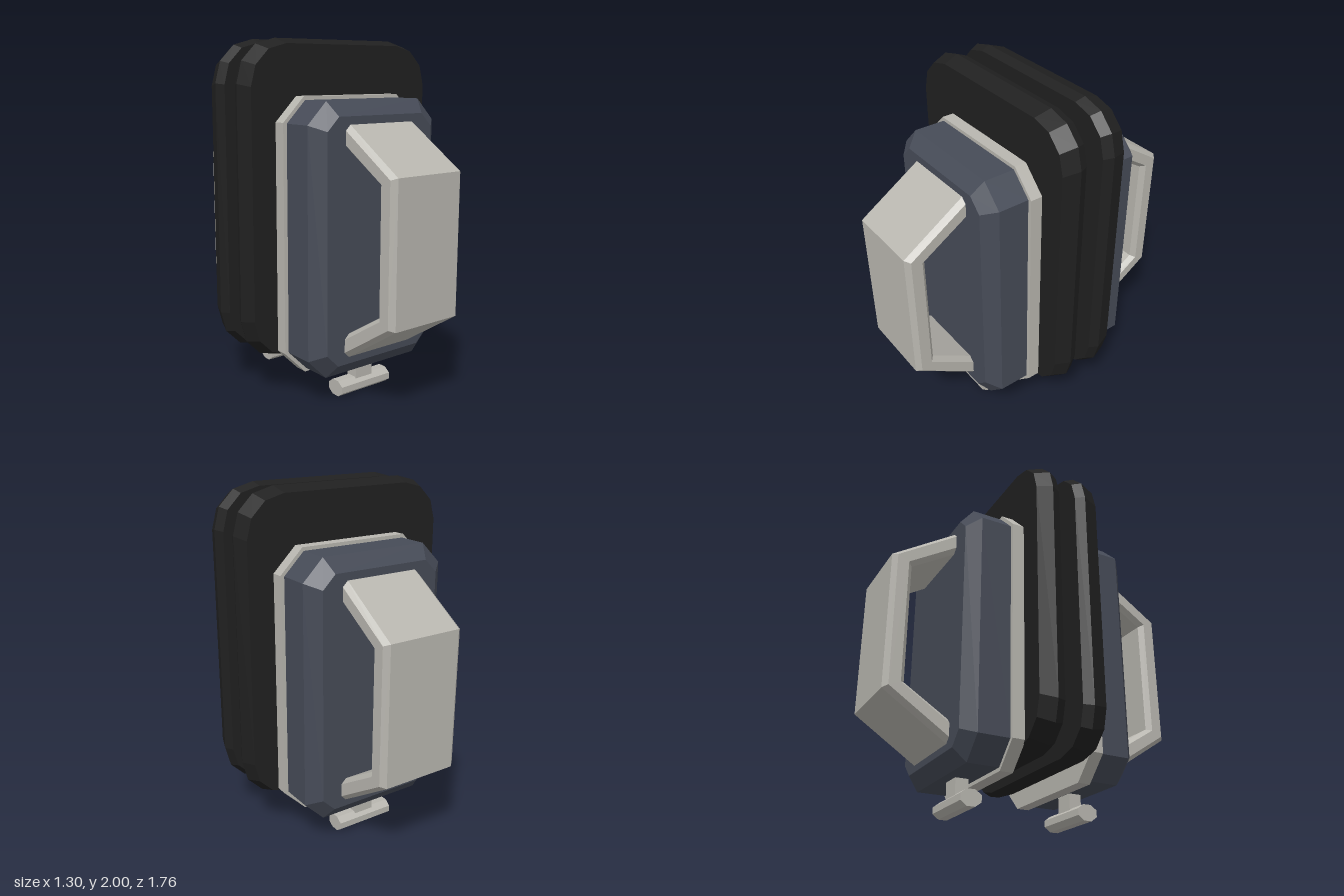
import * as THREE from 'three';

const paint = (name, color) => Object.assign(new THREE.MeshStandardMaterial({ color, flatShading: true }), { name });

// Closed solid through convex rings of [x, y, z] points
function skin(rings) {
  const v = [];
  const tri = (...p) => p.forEach((q) => v.push(...q));
  const n = rings[0].length;
  const centre = (r) => [0, 1, 2].map((k) => r.reduce((s, p) => s + p[k], 0) / n);
  const first = rings[0], last = rings[rings.length - 1];
  const c0 = centre(first), c1 = centre(last);
  for (let i = 0; i < n; i++) {
    const j = (i + 1) % n;
    for (let k = 0; k + 1 < rings.length; k++) {
      const a = rings[k], b = rings[k + 1];
      tri(a[i], a[j], b[j], a[i], b[j], b[i]);
    }
    tri(c0, first[j], first[i]);
    tri(c1, last[i], last[j]);
  }
  const g = new THREE.BufferGeometry();
  g.setAttribute('position', new THREE.Float32BufferAttribute(v, 3));
  g.computeVertexNormals();
  return g;
}

// Upright rectangle at depth z with corners of radius r cut into seg steps
function outline(hw, y0, y1, r, seg, z) {
  const pts = [];
  const corners = [[1, 1], [-1, 1], [-1, -1], [1, -1]];
  corners.forEach(([sx, sy], q) => {
    for (let i = 0; i <= seg; i++) {
      const a = (q + i / seg) * Math.PI / 2;
      const cy = sy > 0 ? y1 - r : y0 + r;
      pts.push([sx * (hw - r) + r * Math.cos(a), cy + r * Math.sin(a), z]);
    }
  });
  return pts;
}

export function createModel() {
  const black = paint('black rubber', 0x202020);
  const navy = paint('slate blue', 0x464b57);
  const grey = paint('light grey', 0xb8b6af);

  function buildHalf(name) {
    const half = new THREE.Group();
    half.name = name;
    const add = (part, geometry, material) => {
      const m = new THREE.Mesh(geometry, material);
      m.name = part;
      half.add(m);
      return m;
    };

    // Large pad with a ridge around its rim
    add('pad', skin([
      outline(0.625, 0.25, 1.98, 0.225, 3, 0.053),
      outline(0.65, 0.23, 2.0, 0.24, 3, 0.108),
      outline(0.62, 0.26, 1.97, 0.225, 3, 0.2),
    ]), black);

    // Backing plate and bevelled housing
    add('backingPlate', skin([
      outline(0.47, 0.155, 1.695, 0.135, 1, 0.195),
      outline(0.47, 0.155, 1.695, 0.135, 1, 0.27),
    ]), grey);
    add('housing', skin([
      outline(0.447, 0.175, 1.675, 0.12, 1, 0.265),
      outline(0.447, 0.175, 1.675, 0.12, 1, 0.45),
      outline(0.37, 0.253, 1.597, 0.075, 1, 0.517),
    ]), navy);

    // Handle: chamfered strap following outer and inner [y, z] paths
    const outer = [[1.565, 0.5], [1.315, 0.88], [0.53, 0.88], [0.28, 0.5]];
    const inner = [[1.43, 0.5], [1.265, 0.765], [0.58, 0.765], [0.415, 0.5]];
    const section = [[-0.22, 1], [0.22, 1], [0.25, 0.78], [0.25, 0.22],
      [0.22, 0], [-0.22, 0], [-0.25, 0.22], [-0.25, 0.78]];
    const rings = outer.map((o, k) => section.map(([x, t]) => [
      x,
      THREE.MathUtils.lerp(o[0], inner[k][0], t),
      THREE.MathUtils.lerp(o[1], inner[k][1], t),
    ]));
    add('handle', skin(rings), grey);

    // T-shaped latch under the housing
    add('latchStem', new THREE.BoxGeometry(0.12, 0.14, 0.075), grey).position.set(0, 0.13, 0.352);
    const bar = new THREE.CylinderGeometry(0.065, 0.065, 0.36, 8);
    bar.rotateY(Math.PI / 8).rotateZ(Math.PI / 2).scale(1, 0.75, 1);
    add('latchBar', bar, grey).position.set(0, 0.045, 0.352);
    return half;
  }

  // Two identical halves, back to back with a gap
  const model = new THREE.Group();
  model.name = 'doubleHandledPad';
  const back = buildHalf('backHalf');
  back.rotation.y = Math.PI;
  model.add(buildHalf('frontHalf'), back);
  return model;
}
